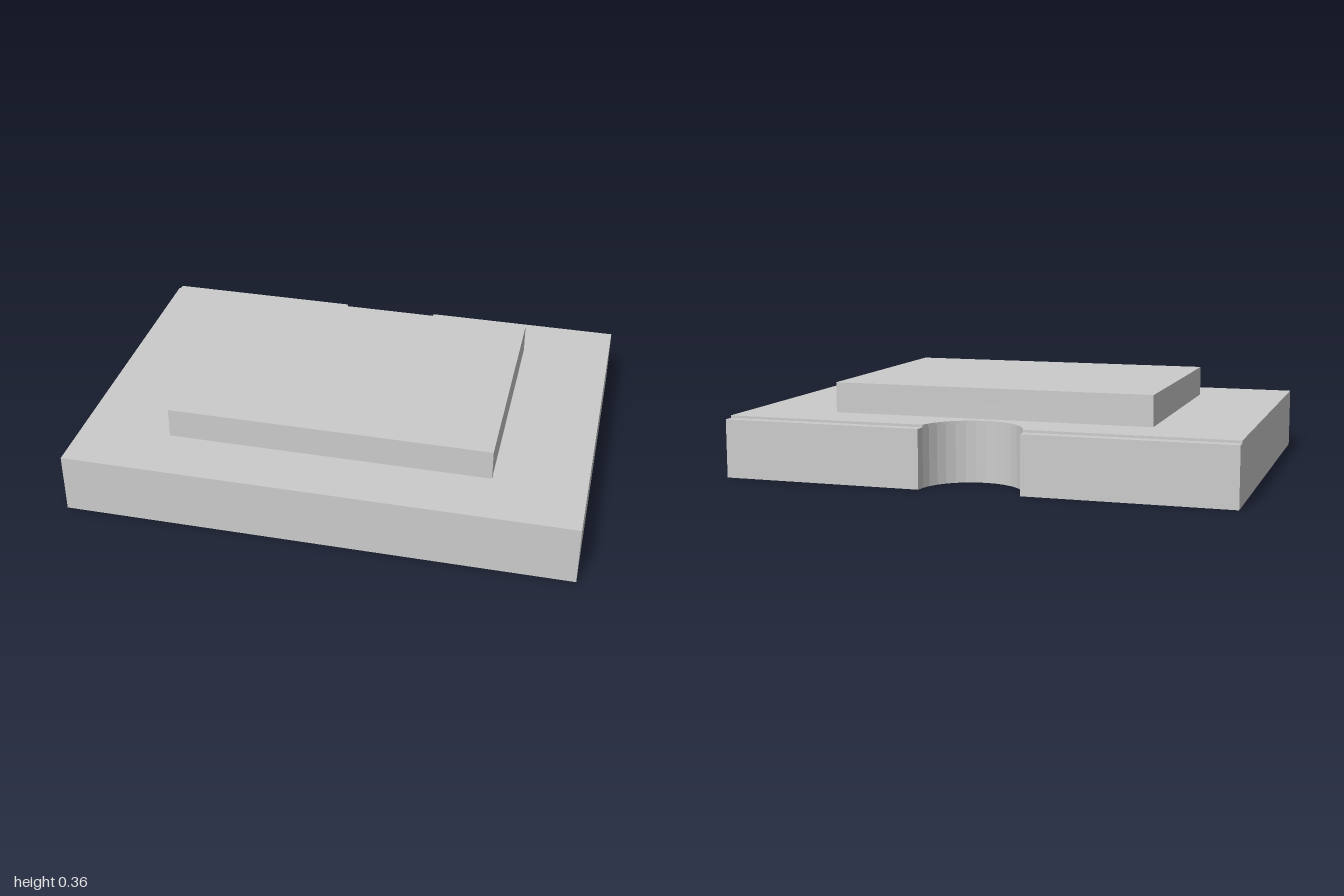
import * as THREE from 'three';

const HALF_W = 1, HALF_D = 0.72, NOTCH_R = 0.2;

// Horizontal slab reaching back to z = -back, with a round notch in its rear edge
function notchedSlab(name, back, bottom, top, material) {
  const a = Math.asin((HALF_D - back) / NOTCH_R);
  const shape = new THREE.Shape();
  shape.moveTo(-HALF_W, -HALF_D);
  shape.lineTo(HALF_W, -HALF_D);
  shape.lineTo(HALF_W, back);
  shape.absarc(0, HALF_D, NOTCH_R, -a, -Math.PI + a, true);
  shape.lineTo(-HALF_W, back);
  shape.closePath();
  const geometry = new THREE.ExtrudeGeometry(shape, {
    depth: top - bottom, bevelEnabled: false, curveSegments: 8,
  });
  geometry.rotateX(-Math.PI / 2).translate(0, bottom, 0);
  const mesh = new THREE.Mesh(geometry, material);
  mesh.name = name;
  return mesh;
}

export function createModel() {
  const group = new THREE.Group();
  group.name = 'steppedBlock';
  const material = new THREE.MeshStandardMaterial({ color: 0xcccccc });

  // Main block, and the thin top layer that leaves a shallow rear ledge
  group.add(notchedSlab('baseBlock', HALF_D, 0, 0.23, material));
  group.add(notchedSlab('baseTopLayer', 0.68, 0.23, 0.24, material));

  // Raised rectangular platform
  const platform = new THREE.Mesh(new THREE.BoxGeometry(1.28, 0.12, 0.96), material);
  platform.name = 'raisedPlatform';
  platform.position.y = 0.3;
  group.add(platform);

  return group;
}
